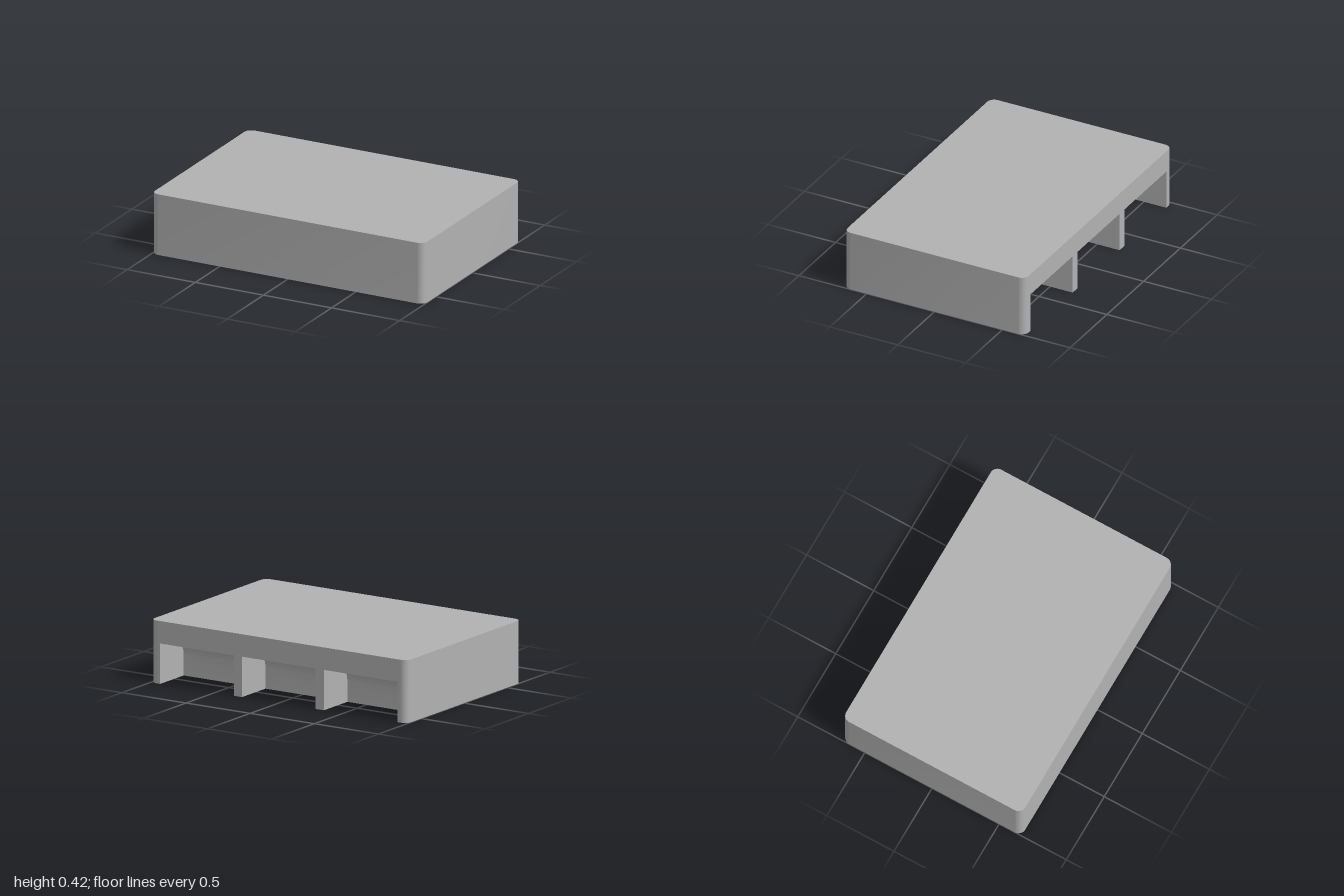
import * as THREE from 'three';
import { toCreasedNormals } from 'three/addons/utils/BufferGeometryUtils.js';

const H = 0.42, D = 0.667, R = 0.05;          // block height, half depth, corner radius
const PITCH = 0.638, HALF = 0.287;            // pocket spacing and half width
const POCKET_H = 0.27, POCKET_R = 0.13;       // pocket height and ceiling fillet
const FRONT_ROW = [0.25, -0.15], BACK_ROW = [-0.393, -D];   // z from front wall to back
const COLUMNS = [-PITCH, 0, PITCH];

const v = (x, y) => new THREE.Vector2(x, y);
const arc = (cx, cy, r, a0, a1, n = 10) => Array.from({ length: n + 1 }, (_, i) => {
  const a = a0 + (a1 - a0) * i / n;
  return v(cx + r * Math.cos(a), cy + r * Math.sin(a));
});

// Ribbon along a 2D path, raised along +z; it faces the right of travel
function ribbon(points, length) {
  const pos = [];
  for (let i = 0; i < points.length - 1; i++) {
    const a = points[i], b = points[i + 1];
    pos.push(a.x, a.y, 0, b.x, b.y, 0, b.x, b.y, length);
    pos.push(a.x, a.y, 0, b.x, b.y, length, a.x, a.y, length);
  }
  const g = new THREE.BufferGeometry();
  g.setAttribute('position', new THREE.Float32BufferAttribute(pos, 3));
  return toCreasedNormals(g, 0.6);
}

const face = (points) => new THREE.ShapeGeometry(new THREE.Shape(points));

export function createModel() {
  const grey = new THREE.MeshStandardMaterial({ color: 0xb2b2b2, side: THREE.DoubleSide });
  grey.name = 'grey';
  const model = new THREE.Group();
  model.name = 'pocketedBlock';
  const add = (name, geometry, parent = model) => {
    const mesh = new THREE.Mesh(geometry, grey);
    mesh.name = name;
    parent.add(mesh);
    return mesh;
  };

  // Rounded plan outline, anticlockwise, open along the straight back edge
  const P = Math.PI, X = 1 - R, Z = D - R;
  const outline = [
    ...arc(-X, Z, R, P / 2, P), ...arc(-X, -Z, R, P, 1.5 * P),
    ...arc(X, -Z, R, 1.5 * P, 2 * P), ...arc(X, Z, R, 0, P / 2),
  ];
  add('top', face(outline).rotateX(-P / 2).translate(0, H, 0));
  add('outerWall', ribbon(outline, H).rotateX(-P / 2));

  // Back wall with three openings
  const back = [v(X, H), v(-X, H), v(-X, 0)];
  for (const c of COLUMNS) {
    back.push(v(c - HALF, 0), v(c - HALF, POCKET_H), v(c + HALF, POCKET_H), v(c + HALF, 0));
  }
  back.push(v(X, 0));
  add('backWall', face(back).rotateY(P).translate(0, 0, -D));

  // Underside, in x and z: notched at the back, with closed pockets as holes
  const under = outline.map((p) => v(p.x, -p.y)).reverse();
  for (const c of COLUMNS) {
    under.push(v(c - HALF, -D), v(c - HALF, BACK_ROW[0]), v(c + HALF, BACK_ROW[0]), v(c + HALF, -D));
  }
  // The reversed outline ends at the back left, so the notches run towards +x
  const underShape = new THREE.Shape(under);
  for (const c of COLUMNS) {
    const [zf, zb] = FRONT_ROW;
    underShape.holes.push(new THREE.Path([
      v(c - HALF, zb), v(c - HALF, zf), v(c + HALF, zf), v(c + HALF, zb),
    ]));
  }
  add('underside', new THREE.ShapeGeometry(underShape).rotateX(P / 2));

  // Pocket linings: front wall, fillet, ceiling and, if closed, a back wall
  const addPocket = (name, c, [zf, zb], closed) => {
    const pocket = new THREE.Group();
    pocket.name = name;
    pocket.position.x = c;
    model.add(pocket);
    const profile = [
      v(-zf, 0), ...arc(-zf + POCKET_R, POCKET_H - POCKET_R, POCKET_R, P, P / 2), v(-zb, POCKET_H),
    ];
    const loop = [...profile, v(-zb, 0)];
    add('lining', ribbon(closed ? loop : profile, 2 * HALF).rotateY(P / 2).translate(-HALF, 0, 0), pocket);
    add('rightSide', face(loop).rotateY(P / 2).translate(-HALF, 0, 0), pocket);
    add('leftSide', face(loop.map((p) => v(-p.x, p.y))).rotateY(-P / 2).translate(HALF, 0, 0), pocket);
  };
  for (const c of COLUMNS) {
    addPocket('frontPocket', c, FRONT_ROW, true);
    addPocket('backPocket', c, BACK_ROW, false);
  }
  return model;
}
